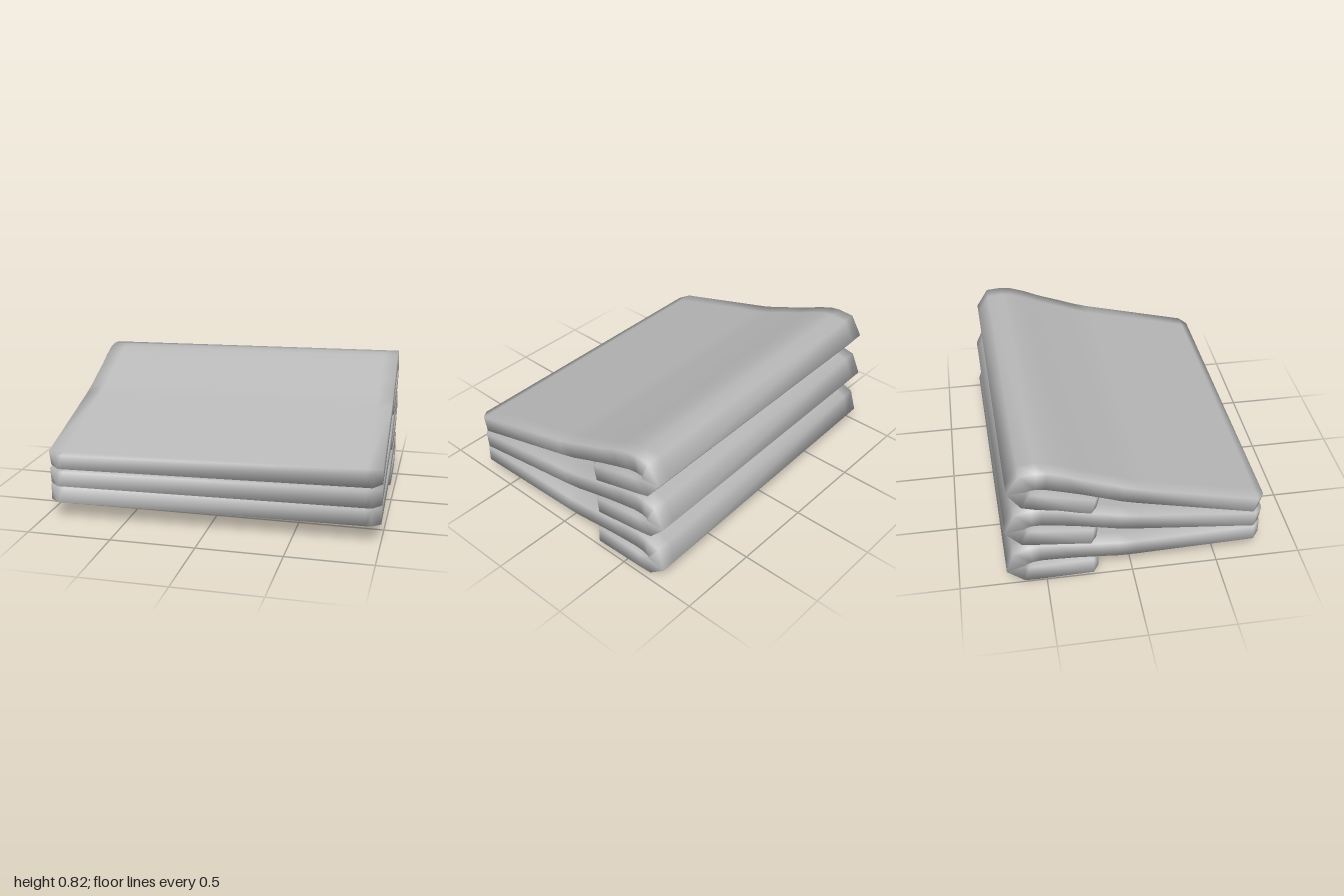
import * as THREE from 'three';

const HALF = 0.98; // half width of a towel

// Fold profile from front edge, round the back fold, to the tucked flap.
// [outer z, outer y, inner z, inner y, side inset]; y is measured from the flap's underside.
const PROFILE = [
  [0.745, 0.2, 0.745, 0.105, 0.055],
  [0.7, 0.2, 0.7, 0.105, 0],
  [0.0, 0.2, 0.0, 0.105, 0],
  [-0.1, 0.206, -0.1, 0.108, 0],
  [-0.2, 0.218, -0.2, 0.12, 0],
  [-0.35, 0.233, -0.34, 0.135, 0],
  [-0.46, 0.252, -0.45, 0.143, 0],
  [-0.56, 0.26, -0.55, 0.148, 0],
  [-0.62, 0.253, -0.6, 0.143, 0],
  [-0.71, 0.222, -0.635, 0.13, 0],
  [-0.752, 0.09, -0.645, 0.117, 0],
  [-0.65, 0.005, -0.62, 0.103, 0],
  [-0.57, 0.001, -0.56, 0.1, 0],
  [-0.25, 0, -0.25, 0.1, 0],
  [-0.213, 0, -0.213, 0.1, 0.055],
];

// Lofted slab with shared vertices, so the edges shade softly
function towelGeometry() {
  const pos = [], idx = [];
  const n = PROFILE.length;
  for (const [oz, oy, iz, iy, inset] of PROFILE) {
    const w = HALF - inset, c = HALF - 0.09;
    for (const x of [-w, -c, c, w]) pos.push(x, oy, oz);
    for (const x of [w, c, -c, -w]) pos.push(x, iy, iz);
  }
  for (let i = 0; i < n - 1; i++) {
    for (let k = 0; k < 8; k++) {
      const a = i * 8 + k, b = i * 8 + (k + 1) % 8;
      idx.push(a, b, b + 8, a, b + 8, a + 8);
    }
  }
  // front edge and flap edge
  const e = (n - 1) * 8;
  for (let k = 0; k < 3; k++) {
    idx.push(7 - k, 6 - k, k + 1, 7 - k, k + 1, k);
    idx.push(e + 7 - k, e + k + 1, e + 6 - k, e + 7 - k, e + k, e + k + 1);
  }
  const g = new THREE.BufferGeometry();
  g.setAttribute('position', new THREE.Float32BufferAttribute(pos, 3));
  g.setIndex(idx);
  g.computeVertexNormals();
  return g;
}

export function createModel() {
  const model = new THREE.Group();
  model.name = 'foldedTowelStack';
  const cloth = new THREE.MeshStandardMaterial({ color: 0xb8b8b8 });
  cloth.name = 'greyCloth';
  const geometry = towelGeometry();

  // each towel leans on the thick fold of the one below
  const towels = [
    { name: 'bottomTowel', tilt: 0, roll: 0, y: 0.105, z: 0.745 },
    { name: 'middleTowel', tilt: 0.133, roll: 0, y: 0.207, z: 0.738 },
    { name: 'topTowel', tilt: 0.255, roll: 0.005, y: 0.318, z: 0.73 },
  ];
  for (const { name, tilt, roll, y, z } of towels) {
    const towel = new THREE.Mesh(geometry, cloth);
    towel.name = name;
    towel.rotation.y = 0.025;
    towel.position.set(0, -0.105, -0.745);
    // pivot on the front lower edge
    const pivot = new THREE.Group();
    pivot.name = name + 'Pivot';
    pivot.position.set(0, y, z);
    pivot.rotation.set(tilt, 0, roll);
    pivot.add(towel);
    model.add(pivot);
  }
  return model;
}
